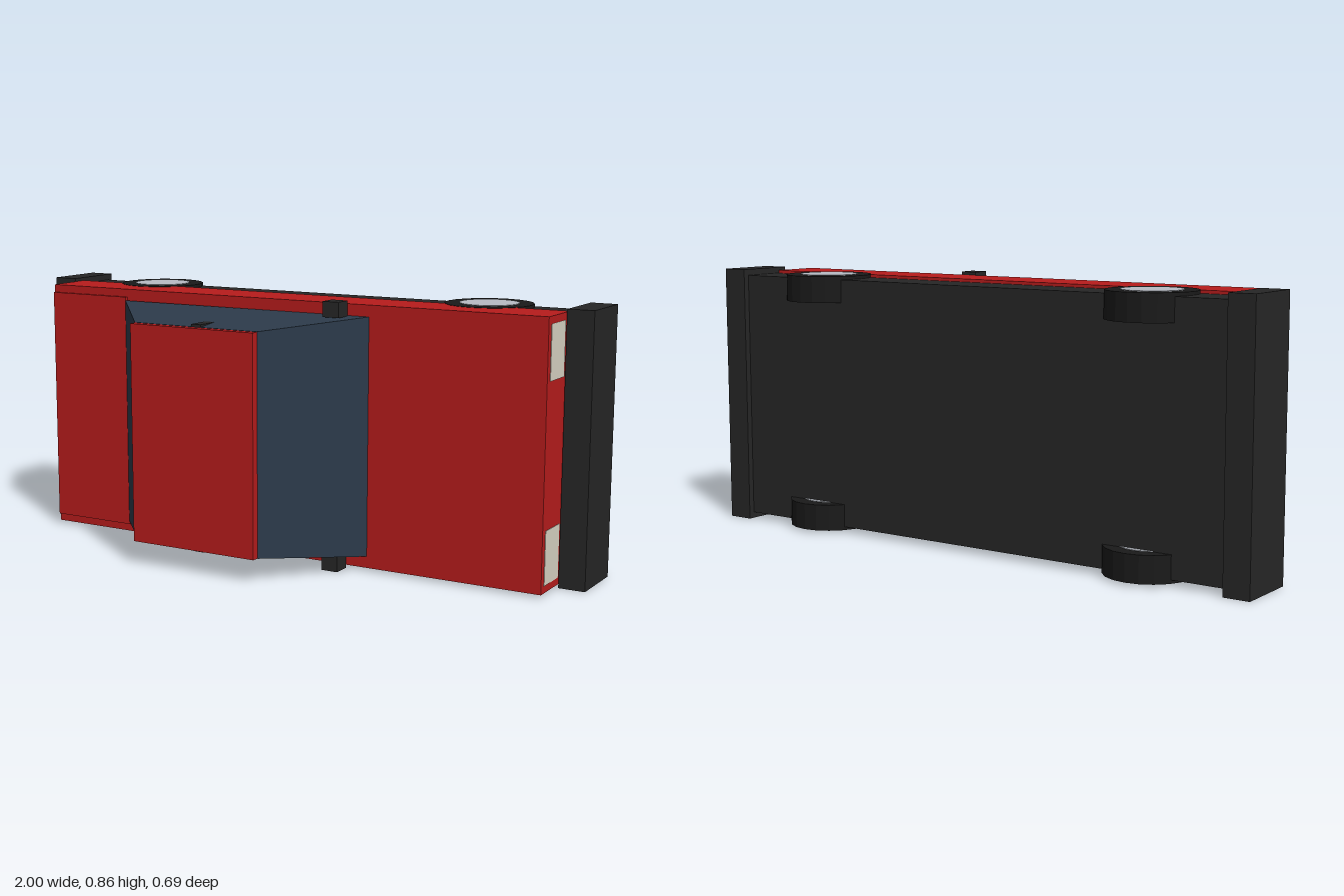
import * as THREE from 'three';

const MID = 0.429; // middle of the car's width, which runs along y

const paint = (color) => new THREE.MeshStandardMaterial({ color, flatShading: true });

// The car rests on its side: nose to +x, roof to +z, width along y.
export function createModel() {
  const model = new THREE.Group();
  model.name = 'car';
  const red = paint(0xb71c1c), dark = paint(0x262626), tyreBlack = paint(0x1a1a1a);
  const glass = paint(0x2c3a4a), metal = paint(0xb8bcc4), lamp = paint(0xd8d4c4);

  const add = (name, geometry, material, x = 0, y = 0, z = 0) => {
    const mesh = new THREE.Mesh(geometry, material);
    mesh.name = name;
    mesh.position.set(x, y, z);
    model.add(mesh);
    return mesh;
  };
  // Box given by its limits on each axis
  const box = (name, material, x0, x1, y0, y1, z0, z1) =>
    add(name, new THREE.BoxGeometry(x1 - x0, y1 - y0, z1 - z0), material,
      (x0 + x1) / 2, (y0 + y1) / 2, (z0 + z1) / 2);

  // Body and chassis
  box('chassis', dark, -0.914, 0.914, 0.02, 0.838, -0.28, -0.135);
  box('body', red, -0.91, 0.91, 0.01, 0.848, -0.135, 0.031);
  box('rearDeck', red, -0.907, -0.6, 0.036, 0.822, 0.02, 0.041);
  box('rearBumper', dark, -1, -0.914, 0, 0.858, -0.3, -0.09);
  box('frontBumper', dark, 0.914, 1, 0, 0.858, -0.3, -0.1);

  // Cabin: a box tapered to the roof, its base sloping slightly to the nose
  const cabin = new THREE.BoxGeometry(1, 1, 1);
  const p = cabin.attributes.position;
  for (let i = 0; i < p.count; i++) {
    const front = p.getX(i) > 0, top = p.getZ(i) > 0;
    const x = top ? (front ? 0.092 : -0.36) : (front ? 0.32 : -0.6);
    const z = top ? 0.32 : (front ? 0.031 : 0.043);
    p.setXYZ(i, x, MID + Math.sign(p.getY(i)) * (top ? 0.353 : 0.382), z);
  }
  cabin.computeVertexNormals();
  add('cabin', cabin, glass);
  box('roof', red, -0.36, 0.092, 0.077, 0.781, 0.318, 0.345);
  box('doorPillars', dark, -0.147, -0.112, 0.068, 0.79, 0.025, 0.32);

  for (const side of [-1, 1]) {
    const end = side > 0 ? 'Upper' : 'Lower';
    const mirror = box('mirror' + end, dark, 0.19, 0.247, 0.809, 0.858, 0.035, 0.093);
    const light = box('headlight' + end, lamp, 0.88, 0.9115, 0.655, 0.825, -0.1, 0.01);
    for (const m of [mirror, light]) m.position.y = MID + side * (m.position.y - MID);

    // Wheels with their hubs
    for (const x of [-0.62, 0.618]) {
      const place = (x > 0 ? 'front' : 'rear') + end;
      add(place + 'Tyre', new THREE.CylinderGeometry(0.14, 0.14, 0.086, 20), tyreBlack,
        x, MID + side * 0.377, -0.205);
      add(place + 'Hub', new THREE.CylinderGeometry(0.094, 0.094, 0.09, 20), metal,
        x, MID + side * 0.377, -0.205);
    }
  }
  return model;
}
